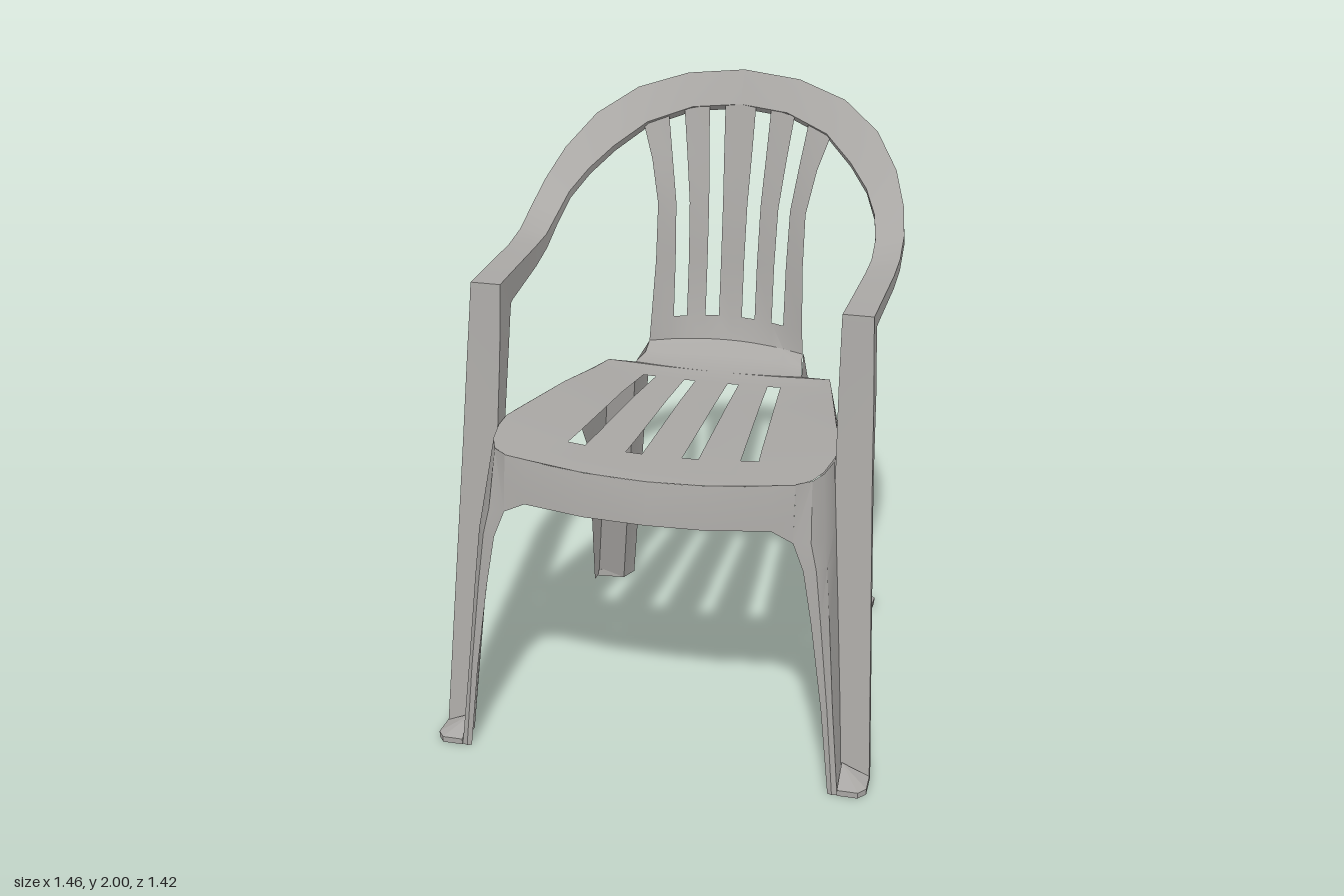
import * as THREE from 'three';
import { toCreasedNormals } from 'three/addons/utils/BufferGeometryUtils.js';
import { ConvexGeometry } from 'three/addons/geometries/ConvexGeometry.js';

const plastic = new THREE.MeshStandardMaterial({ color: 0xa9a7a4, side: THREE.DoubleSide });
plastic.name = 'grey plastic';

function addMesh(parent, name, geometry) {
  const mesh = new THREE.Mesh(geometry, plastic);
  mesh.name = name;
  parent.add(mesh);
}

// Sheet through rows of points; isOpen(row, column) leaves a cell out
function loft(rows, isOpen = () => false) {
  const n = rows[0].length, index = [];
  for (let r = 0; r < rows.length - 1; r++) {
    for (let c = 0; c < n - 1; c++) {
      if (isOpen(r, c)) continue;
      const a = r * n + c, b = a + n;
      index.push(a, b, a + 1, b, b + 1, a + 1);
    }
  }
  const g = new THREE.BufferGeometry();
  g.setAttribute('position', new THREE.Float32BufferAttribute(rows.flat(2), 3));
  g.setIndex(index);
  return toCreasedNormals(g, 0.6);
}

// Seat and backrest are one slotted sheet.
// Row: centre z, centre y, half width, edge y, bow in z, slot edges
const frontSlots = [0.066, 0.12, 0.257, 0.315];
const shellRows = [
  [0.675, 1.03, 0.47, 1.058, -0.13, frontSlots],
  [0.64, 1.032, 0.515, 1.062, -0.11, frontSlots],
  [0.585, 1.03, 0.54, 1.066, -0.12, frontSlots],
  [0.475, 1.028, 0.555, 1.07, -0.08, frontSlots],
  [0.37, 1.025, 0.555, 1.07, 0, [0.065, 0.116, 0.248, 0.304]],
  [0, 1.018, 0.47, 1.05, 0, [0.061, 0.104, 0.217, 0.267]],
  [-0.2, 1.01, 0.425, 1.025, 0, [0.058, 0.097, 0.2, 0.245]],
  [-0.3, 1.01, 0.40, 1.02, 0, [0.055, 0.095, 0.185, 0.23]],
  [-0.3, 1.01, 0.30, 1.02, 0, [0.055, 0.095, 0.185, 0.23]],
  [-0.40, 1.03, 0.285, 1.03, 0.3, [0.05, 0.092, 0.17, 0.215]],
  [-0.46, 1.07, 0.28, 1.06, 0.6, [0.045, 0.09, 0.16, 0.205]],
  [-0.49, 1.15, 0.275, 1.14, 0.9, [0.042, 0.09, 0.155, 0.2]],
  [-0.52, 1.35, 0.265, 1.35, 0.9, [0.042, 0.09, 0.155, 0.2]],
  [-0.555, 1.55, 0.265, 1.55, 0.9, [0.044, 0.093, 0.16, 0.205]],
  [-0.595, 1.72, 0.295, 1.70, 0.75, [0.05, 0.102, 0.178, 0.228]],
  [-0.633, 1.89, 0.335, 1.82, 0.6, [0.055, 0.11, 0.197, 0.25]],
];

function shellGeometry() {
  const rows = shellRows.map(([z, y, w, edgeY, bow, slots]) => {
    const half = [...slots, w];
    const xs = [...half.map((x) => -x).reverse(), 0, ...half];
    return xs.map((x) => [x, y + (edgeY - y) * (x / w) ** 2, z + bow * x * x]);
  });
  const slotColumns = [1, 3, 6, 8];
  return loft(rows, (r, c) => slotColumns.includes(c) && ((r >= 3 && r < 6) || r >= 11));
}

// Channel running up the front leg, along the arm and round the back.
// Station: outer edge, inner edge, outer and inner lip depth, lip angle (0 back, 90 down)
const frame = [
  [[0.725, 0, 0.605], [0.632, 0, 0.605], 0.02, 0.005, 0],
  [[0.704, 0.45, 0.54], [0.6, 0.45, 0.54], 0.02, 0.005, 8],
  [[0.678, 1.0, 0.46], [0.56, 1.0, 0.46], 0.025, 0.07, 8],
  [[0.666, 1.3, 0.415], [0.555, 1.3, 0.415], 0.05, 0.09, 10],
  [[0.658, 1.45, 0.396], [0.555, 1.45, 0.396], 0.06, 0.11, 22],
  [[0.655, 1.53, 0.385], [0.555, 1.53, 0.385], 0.075, 0.14, 45],
  [[0.655, 1.53, 0.27], [0.557, 1.53, 0.27], 0.05, 0.095, 85],
  [[0.655, 1.53, 0], [0.56, 1.53, 0], 0.045, 0.07, 90],
  [[0.655, 1.545, -0.12], [0.56, 1.535, -0.12], 0.04, 0.05, 85],
  [[0.65, 1.59, -0.23], [0.555, 1.57, -0.22], 0.035, 0.035, 75],
  [[0.63, 1.66, -0.33], [0.535, 1.63, -0.31], 0.035, 0.03, 65],
  [[0.585, 1.75, -0.44], [0.49, 1.69, -0.40], 0.035, 0.03, 55],
  [[0.5, 1.85, -0.545], [0.42, 1.755, -0.475], 0.035, 0.03, 50],
  [[0.37, 1.93, -0.63], [0.32, 1.825, -0.56], 0.035, 0.03, 45],
  [[0.2, 1.98, -0.677], [0.17, 1.875, -0.615], 0.035, 0.03, 45],
  [[0, 2.0, -0.69], [0, 1.89, -0.633], 0.035, 0.03, 45],
];

function frameRow([outer, inner, outerLip, innerLip, degrees]) {
  const a = THREE.MathUtils.degToRad(degrees);
  const lip = ([x, y, z], d) => [x, Math.max(0, y - d * Math.sin(a)), z - d * Math.cos(a)];
  return [lip(outer, outerLip), outer, inner, lip(inner, innerLip)];
}

// Front skirt under the seat, top and bottom edges from the middle outwards
const apron = [
  [[0, 1.03, 0.675], [0, 0.97, 0.69], [0, 0.89, 0.70]],
  [[0.2, 1.035, 0.67], [0.2, 0.97, 0.685], [0.2, 0.893, 0.695]],
  [[0.4, 1.052, 0.654], [0.4, 0.975, 0.668], [0.4, 0.905, 0.675]],
  [[0.47, 1.058, 0.646], [0.47, 0.965, 0.66], [0.47, 0.87, 0.672]],
];

// Front leg: height, then inner edge, bend, corner and joint with the channel (x, z)
const frontLeg = [
  [1.06, [0.47, 0.646], [0.515, 0.61], [0.54, 0.55], [0.555, 0.45]],
  [0.87, [0.47, 0.672], [0.525, 0.66], [0.56, 0.61], [0.57, 0.475]],
  [0.78, [0.505, 0.678], [0.545, 0.668], [0.572, 0.63], [0.576, 0.49]],
  [0.6, [0.535, 0.685], [0.565, 0.68], [0.587, 0.65], [0.59, 0.515]],
  [0.3, [0.575, 0.695], [0.595, 0.695], [0.61, 0.68], [0.612, 0.56]],
  [0, [0.605, 0.705], [0.62, 0.71], [0.637, 0.705], [0.632, 0.605]],
].map(([y, ...points]) => points.map(([x, z]) => [x, y, z]));

// Seat side, sweeping down into the outer face of the back leg
const flank = [
  [[0.555, 1.07, 0.45], [0.565, 1.03, 0.42]],
  [[0.545, 1.068, 0.325], [0.55, 0.98, 0.325]],
  [[0.502, 1.058, 0.14], [0.515, 0.947, 0.14]],
  [[0.47, 1.05, 0], [0.49, 0.904, -0.02]],
  [[0.43, 1.028, -0.18], [0.47, 0.81, -0.17]],
  [[0.40, 1.02, -0.3], [0.472, 0.68, -0.26]],
  [[0.48, 0.415, -0.46], [0.505, 0.415, -0.39]],
  [[0.535, 0, -0.57], [0.54, 0, -0.53]],
];

// Stepped faces of the back leg
const backLeg = [
  [[0.40, 1.02, -0.3], [0.30, 1.02, -0.3], [0.28, 1.06, -0.43]],
  [[0.535, 0, -0.57], [0.435, 0, -0.57], [0.41, 0, -0.63]],
];

// Foot pad filling the corner of a leg, sloping up to a point
function footGeometry(s, apex, ring) {
  const points = [new THREE.Vector3(s * apex[0], 0.06, apex[1])];
  for (const [x, z] of ring) {
    points.push(new THREE.Vector3(s * x, 0, z), new THREE.Vector3(s * x, 0.02, z));
  }
  return new ConvexGeometry(points);
}

export function createModel() {
  const chair = new THREE.Group();
  chair.name = 'chair';
  addMesh(chair, 'seatAndBackrest', shellGeometry());

  for (const [s, side] of [[1, 'left'], [-1, 'right']]) {
    const half = new THREE.Group();
    half.name = side + 'Side';
    chair.add(half);
    const mirrored = (rows) => loft(rows.map((row) => row.map(([x, y, z]) => [s * x, y, z])));
    addMesh(half, side + 'ArmAndRim', mirrored(frame.map(frameRow)));
    addMesh(half, side + 'Apron', mirrored(apron));
    addMesh(half, side + 'FrontLeg', mirrored(frontLeg));
    addMesh(half, side + 'SeatFlank', mirrored(flank));
    addMesh(half, side + 'BackLeg', mirrored(backLeg));
    addMesh(half, side + 'FrontFoot', footGeometry(s, [0.633, 0.606],
      [[0.632, 0.605], [0.725, 0.605], [0.728, 0.68], [0.705, 0.71], [0.637, 0.71]]));
    addMesh(half, side + 'BackFoot', footGeometry(s, [0.436, -0.571],
      [[0.435, -0.57], [0.54, -0.56], [0.54, -0.6], [0.51, -0.63], [0.41, -0.63]]));
  }
  return chair;
}
